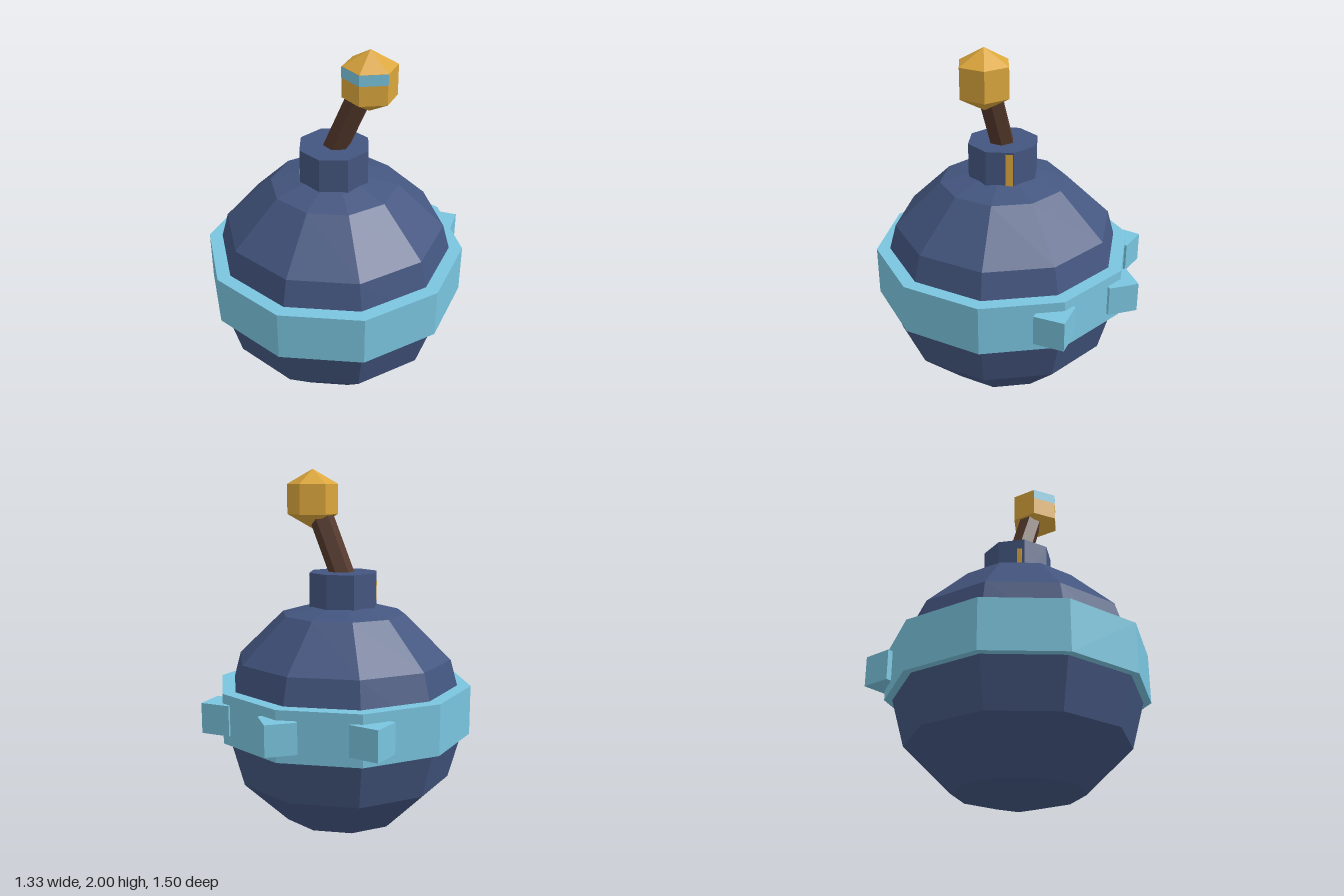
import * as THREE from 'three';

const material = (name, color) => {
  const m = new THREE.MeshStandardMaterial({ color });
  m.name = name;
  return m;
};

// Split the faces so each one has its own flat normal
const faceted = (geometry) => {
  const g = geometry.index ? geometry.toNonIndexed() : geometry;
  g.computeVertexNormals();
  return g;
};

const lathe = (points, sides, start = 0, length = Math.PI * 2) =>
  new THREE.LatheGeometry(points.map(([r, y]) => new THREE.Vector2(r, y)), sides, start, length);

// Pole-to-pole profile of a low-poly ball
const ballProfile = (radius, halfHeight, centerY, rings) =>
  Array.from({ length: rings + 1 }, (_, i) => {
    const a = (i / rings) * Math.PI;
    return [Math.max(0, radius * Math.sin(a)), centerY - halfHeight * Math.cos(a)];
  });

export function createModel() {
  const navy = material('navy shell', 0x445680);
  const cyan = material('pale cyan', 0x7ac5df);
  const gold = material('gold', 0xdba63d);
  const brown = material('brown fuse', 0x55392c);

  const model = new THREE.Group();
  model.name = 'bomb';
  const core = new THREE.Group();
  core.name = 'bombCore';
  core.position.z = 0.05;
  model.add(core);

  const add = (name, geometry, mat, x = 0, y = 0, z = 0, parent = core) => {
    const mesh = new THREE.Mesh(faceted(geometry), mat);
    mesh.name = name;
    mesh.position.set(x, y, z);
    parent.add(mesh);
    return mesh;
  };

  // Shell and belt
  add('shell', lathe(ballProfile(0.68, 0.66, 0.66, 6), 10), navy);
  add('belt', new THREE.CylinderGeometry(0.7, 0.7, 0.27, 10), cyan, 0, 0.715, 0);

  // Three studs around the back of the belt
  for (const degrees of [-40, 0, 40]) {
    const a = THREE.MathUtils.degToRad(degrees);
    const stud = add('beltStud', new THREE.BoxGeometry(0.163, 0.163, 0.163), cyan,
      0.685 * Math.sin(a), 0.717, -0.685 * Math.cos(a));
    stud.rotation.y = Math.PI / 4 - a;
  }

  // Neck with two narrow painted strips
  add('neck', new THREE.CylinderGeometry(0.19, 0.19, 0.255, 8), navy, 0, 1.3275, 0);
  const strip = (degrees, offset, width, bottom, top) => {
    const side = new THREE.Group();
    side.name = 'neckStrip';
    side.rotation.y = THREE.MathUtils.degToRad(degrees);
    core.add(side);
    add('neckStripPlate', new THREE.BoxGeometry(width, top - bottom, 0.004), gold,
      offset, (top + bottom) / 2, 0.1755, side);
  };
  strip(112.5, 0.05, 0.038, 1.27, 1.445);
  strip(292.5, 0.044, 0.026, 1.3, 1.4);

  // Leaning fuse
  const fuse = add('fuse', new THREE.CylinderGeometry(0.066, 0.066, 0.4, 6), brown, 0.08, 1.612, 0);
  fuse.rotation.z = -0.4;

  // Fuse tip with a painted band on its two front faces
  add('fuseTip', lathe(ballProfile(0.16, 0.16, 1.84, 3), 6), gold, 0.19);
  add('fuseTipBand', lathe([[0.1405, 1.863], [0.1405, 1.92]], 2, -Math.PI / 3, Math.PI * 2 / 3), cyan, 0.19);

  return model;
}
